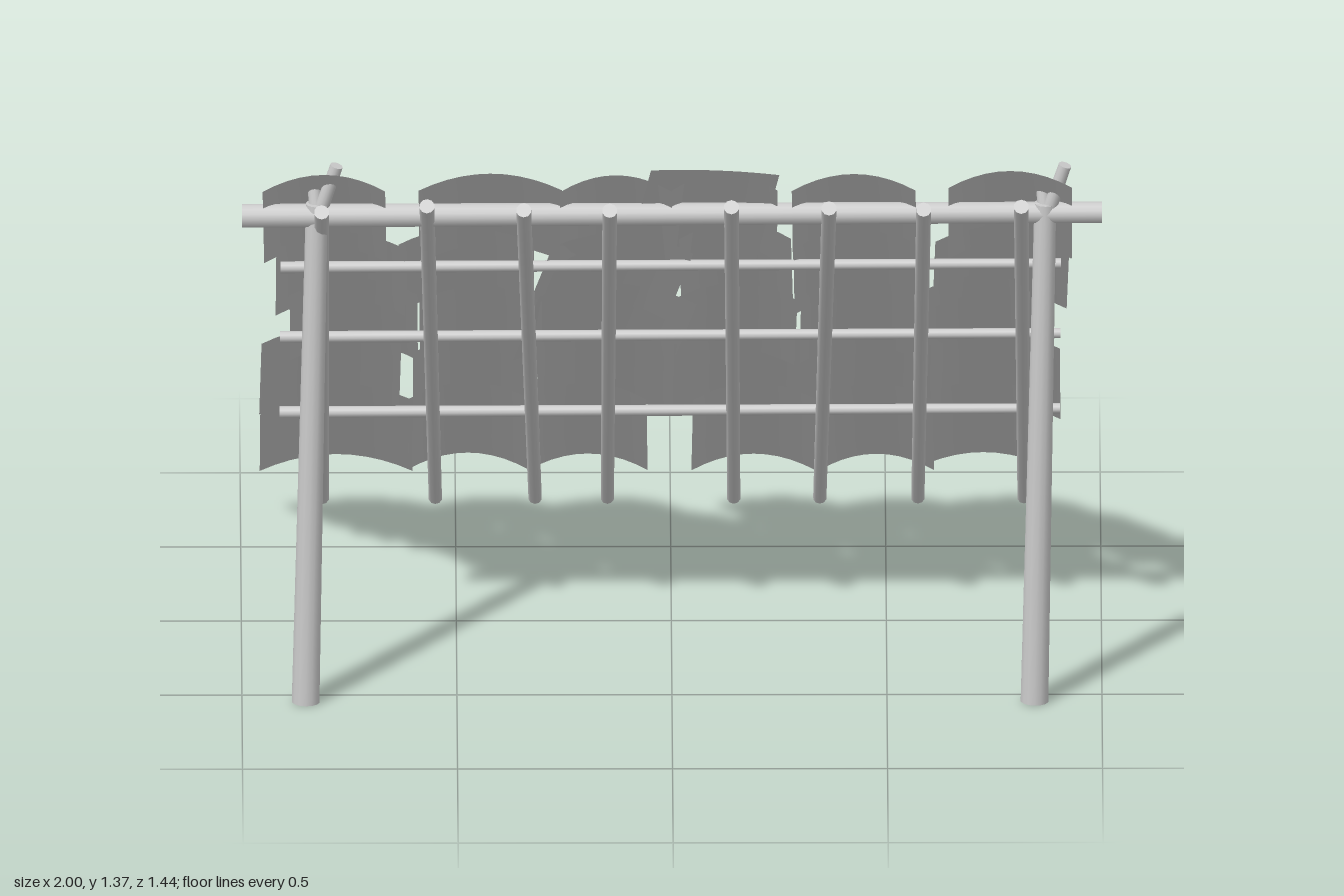
import * as THREE from 'three';

const wood = new THREE.MeshStandardMaterial({ color: 0xcccccc });
const bark = new THREE.MeshStandardMaterial({ color: 0xcccccc, side: THREE.DoubleSide });

// Straight tapered pole between two points
function pole(name, a, b, rA, rB = rA, sides = 14) {
  const from = new THREE.Vector3(...a), to = new THREE.Vector3(...b);
  const dir = to.clone().sub(from);
  const mesh = new THREE.Mesh(new THREE.CylinderGeometry(rB, rA, dir.length(), sides), wood);
  mesh.position.copy(from).add(to).multiplyScalar(0.5);
  mesh.quaternion.setFromUnitVectors(new THREE.Vector3(0, 1, 0), dir.normalize());
  mesh.name = name;
  return mesh;
}

// Arched bark sheet lying in the roof plane: x across, z up the slope, y outward
function sheet(name, width, length, arch, tilt) {
  const geo = new THREE.PlaneGeometry(width, length, 10, 4).rotateX(-Math.PI / 2);
  const p = geo.attributes.position;
  for (let i = 0; i < p.count; i++) {
    const s = p.getX(i) / (width / 2), t = p.getZ(i) / length;
    p.setY(i, arch * (1 - s * s) - tilt * t);
  }
  geo.computeVertexNormals();
  const mesh = new THREE.Mesh(geo, bark);
  mesh.name = name;
  return mesh;
}

let seed = 7;
const jitter = (amount) => {
  seed = (seed * 16807) % 2147483647;
  return (seed / 2147483647 - 0.5) * 2 * amount;
};

export function createModel() {
  const model = new THREE.Group();

  // Forked posts
  for (const [side, base, top] of [['right', -0.852, -0.826], ['left', 0.843, 0.868]]) {
    const post = new THREE.Group();
    post.name = side + 'Post';
    post.add(
      pole('shaft', [base, 0, 0.545], [top, 1.235, 0.55], 0.033, 0.026),
      pole('longProng', [top, 1.19, 0.548], [top + 0.046, 1.335, 0.567], 0.017, 0.015),
      pole('shortProng', [top, 1.2, 0.55], [top - 0.008, 1.29, 0.534], 0.018, 0.014),
    );
    model.add(post);
  }

  // Ridge pole across the forks
  model.add(pole('ridgePole', [-1, 1.205, 0.55], [1, 1.212, 0.55], 0.028, 0.025));

  // Sloping rafters: top x, bottom x
  const rafters = [
    [-0.815, -0.81], [-0.57, -0.547], [-0.345, -0.315], [-0.145, -0.147],
    [0.138, 0.147], [0.365, 0.347], [0.585, 0.575], [0.812, 0.822],
  ];
  rafters.forEach(([top, bottom], i) => {
    const wobble = jitter(0.008);
    model.add(pole('rafter', [top, 1.25 + wobble, 0.628], [bottom, 0.065, -0.652], 0.018, 0.016, 10));
  });

  // Horizontal battens on the rafters
  for (const [y, z] of [[0.995, 0.315], [0.703, -0.01], [0.4, -0.328]]) {
    model.add(pole('batten', [-0.91, y - 0.004, z], [0.905, y + 0.004, z], 0.014, 0.012, 10));
  }

  // Bark roof in its own sloping frame
  const slope = Math.atan(0.893), run = Math.cos(slope);
  const roof = new THREE.Group();
  roof.name = 'barkRoof';
  roof.rotation.x = -slope;
  roof.position.y = 0.726;
  model.add(roof);

  // Rows from the low back edge to the ridge: z range, then left and right x per sheet
  const rows = [
    [-0.695, -0.34, [[-0.955, -0.6], [-0.61, -0.33], [-0.335, -0.055], [0.05, 0.34], [0.34, 0.61], [0.567, 0.887]]],
    [-0.45, -0.095, [[-0.955, -0.63], [-0.6, -0.31], [-0.31, 0.005], [0, 0.36], [0.345, 0.63], [0.58, 0.905]]],
    [-0.19, 0.14, [[-0.887, -0.59], [-0.585, -0.3], [-0.34, 0.03], [0, 0.29], [0.3, 0.6], [0.58, 0.872]]],
    [0.055, 0.39, [[-0.92, -0.62], [-0.635, -0.32], [-0.31, 0.02], [0.02, 0.28], [0.285, 0.59], [0.61, 0.922]]],
    [0.29, 0.647, [[-0.95, -0.665], [-0.588, -0.255], [-0.26, 0], [0, 0.245], [0.28, 0.568], [0.643, 0.93]]],
  ];
  rows.forEach(([z0, z1, spans], r) => {
    spans.forEach(([x0, x1], c) => {
      const shift = r > 0 && r < 4 ? jitter(0.03) : jitter(0.01);
      const s = sheet('barkSheet', x1 - x0, (z1 - z0) / run, 0.042, 0.012);
      s.position.set((x0 + x1) / 2, 0.002 + 0.004 * (c % 2), ((z0 + z1) / 2 + shift) / run);
      s.rotation.y = c === 2 && (r === 2 || r === 3) ? 0.14 : jitter(0.015);
      roof.add(s);
    });
  });

  // Loose flat sheet sticking out above the ridge
  const loose = sheet('looseBarkSheet', 0.3, 0.6, 0.006, 0);
  loose.position.set(0.07, 0.012, 0.482 / run);
  loose.rotation.y = 0.1;
  roof.add(loose);

  return model;
}
